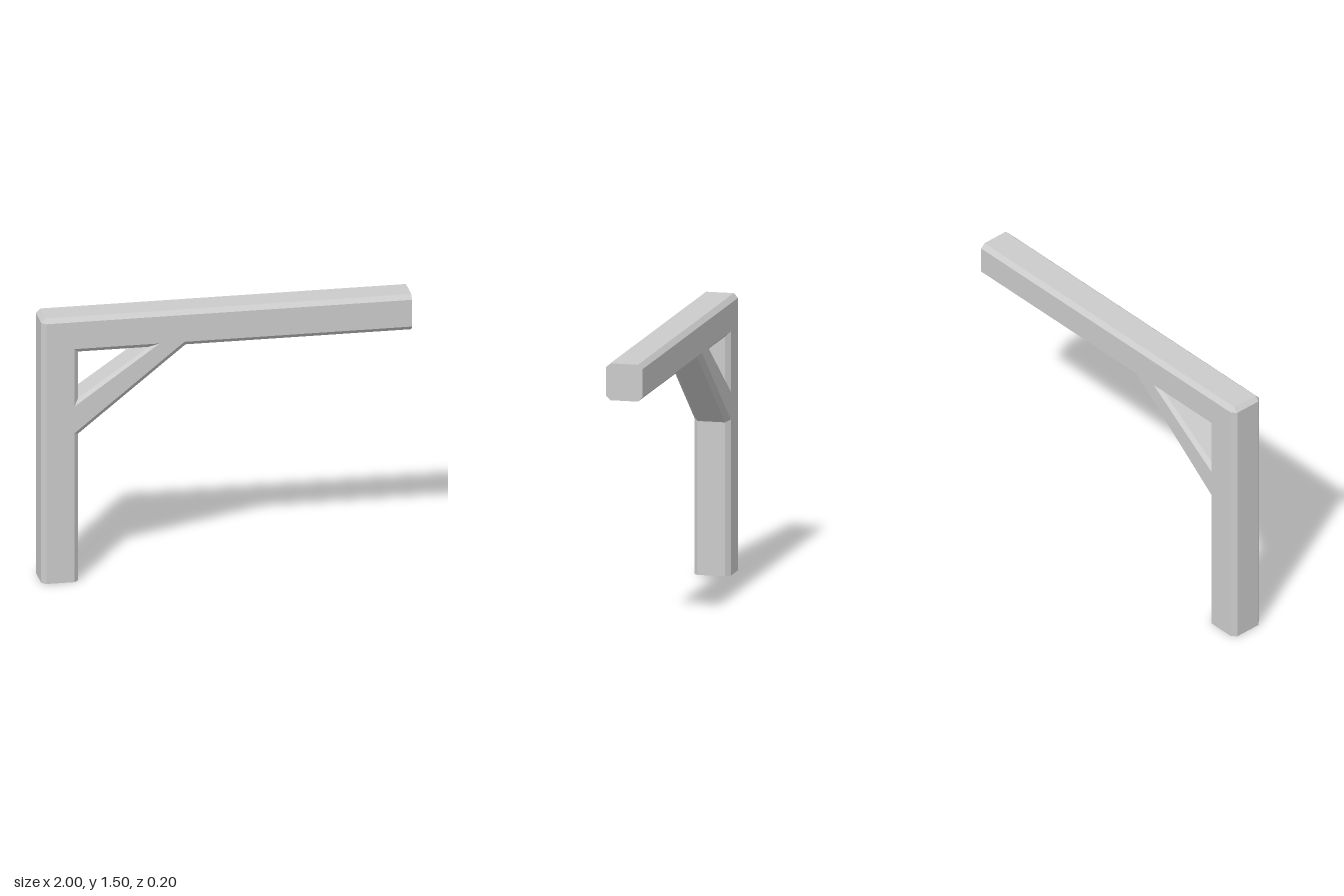
import * as THREE from 'three';

const C = 0.024;          // chamfer width
const HALF = 0.1;         // half thickness

// Outline of the bracket (counter-clockwise): [side wall x, y, flat face x, y]
const OUTER = [
  [-1, 0, -1 + C, 0],
  [-0.8, 0, -0.8 - C, 0],
  [-0.8, 0.834, -0.8 - C, 0.846],
  [-0.22, 1.3, -0.23, 1.3 + C],
  [1, 1.3, 1, 1.3 + C],
  [1, 1.5, 1, 1.5 - C],
  [-1 + C, 1.5, -1 + C, 1.5 - C],
  [-1, 1.5 - C, -1 + C, 1.5 - C],
];

// Opening between post, beam and brace (clockwise)
const OPENING = [
  [-0.8, 1.037, -0.8 - C, 0.998],
  [-0.8, 1.3, -0.8 - C, 1.3 + C],
  [-0.417, 1.3, -0.364, 1.3 + C],
];

const wall = (p, z) => [p[0], p[1], z];
const face = (p, z) => [p[2], p[3], z];

function toMesh(name, positions, material) {
  const geometry = new THREE.BufferGeometry();
  geometry.setAttribute('position', new THREE.Float32BufferAttribute(positions, 3));
  geometry.computeVertexNormals();
  const mesh = new THREE.Mesh(geometry, material);
  mesh.name = name;
  return mesh;
}

// Back chamfer, straight wall and front chamfer around a closed contour
function edgeBand(contour) {
  const out = [];
  const zWall = HALF - C;
  contour.forEach((p, i) => {
    const q = contour[(i + 1) % contour.length];
    const rows = [p, q].map((k) => [face(k, -HALF), wall(k, -zWall), wall(k, zWall), face(k, HALF)]);
    for (let r = 0; r < 3; r++) {
      const a = rows[0][r], b = rows[1][r], c = rows[1][r + 1], d = rows[0][r + 1];
      // skip the collapsed side where two face points coincide
      if (a.join() !== b.join()) out.push(...a, ...b, ...(c.join() === d.join() ? d : c));
      if (c.join() !== d.join()) out.push(...a, ...c, ...d);
    }
  });
  return out;
}

// Flat front (side = 1) or back (side = -1) face with the opening cut out
function flatFace(side) {
  const outer = OUTER.slice(0, -1).map((p) => new THREE.Vector2(p[2], p[3]));
  const hole = OPENING.map((p) => new THREE.Vector2(p[2], p[3]));
  const points = [...outer, ...hole];
  const out = [];
  for (const [a, b, c] of THREE.ShapeUtils.triangulateShape(outer, [hole])) {
    const order = side > 0 ? [a, b, c] : [a, c, b];
    order.forEach((i) => out.push(points[i].x, points[i].y, side * HALF));
  }
  return out;
}

export function createModel() {
  const material = new THREE.MeshStandardMaterial({ color: 0xcccccc, flatShading: true });
  const group = new THREE.Group();
  group.name = 'bracedPostAndBeam';
  group.add(
    toMesh('outerEdges', edgeBand(OUTER), material),
    toMesh('braceOpeningEdges', edgeBand(OPENING), material),
    toMesh('frontFace', flatFace(1), material),
    toMesh('backFace', flatFace(-1), material),
  );
  return group;
}
